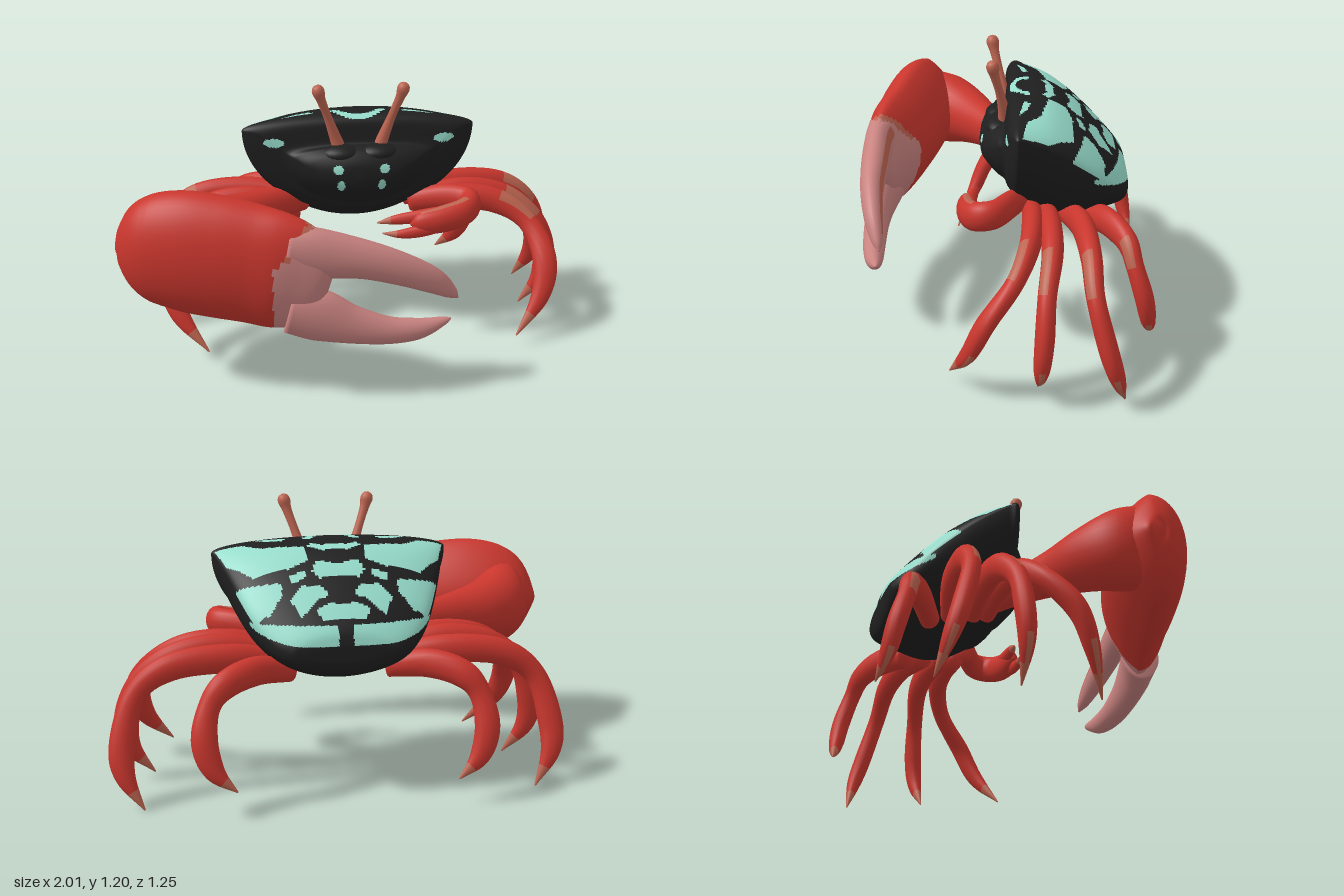
import * as THREE from 'three';

const paint = (name, color) => Object.assign(new THREE.MeshStandardMaterial({ color }), { name });
const shellBlack = paint('shell black', 0x1f1f1f);
const teal = paint('teal marking', 0x98decd);
const red = paint('crab red', 0xc8362d);
const pink = paint('claw pink', 0xc98380);
const tan = paint('tan', 0xbc6450);

const CX = 0.045; // symmetry plane of body and legs
const mirror = (x) => 2 * CX - x;

// Closed-ring skin with capped ends; pick(point, u, angle) chooses the material index of each face
function skin(name, rings, sides, pointAt, mats, pick = () => 0) {
  const pos = [], faces = mats.map(() => []);
  for (let i = 0; i <= rings; i++)
    for (let j = 0; j < sides; j++) pos.push(...pointAt(i / rings, (j / sides) * Math.PI * 2).toArray());
  const at = (k) => new THREE.Vector3().fromArray(pos, k * 3);
  for (let i = 0; i < rings; i++)
    for (let j = 0; j < sides; j++) {
      const a = i * sides + j, b = i * sides + ((j + 1) % sides), c = a + sides, d = b + sides;
      const mid = at(a).add(at(b)).add(at(c)).add(at(d)).multiplyScalar(0.25);
      faces[pick(mid, (i + 0.5) / rings, ((j + 0.5) / sides) * Math.PI * 2)].push(a, b, c, b, d, c);
    }
  for (const u of [0, 1]) {
    const first = u * rings * sides, hub = pos.length / 3;
    const mid = at(first).add(at(first + sides / 2)).multiplyScalar(0.5);
    pos.push(...mid.toArray());
    const list = faces[pick(mid, u, 0)];
    for (let j = 0; j < sides; j++) {
      const a = first + j, b = first + ((j + 1) % sides);
      list.push(hub, u ? a : b, u ? b : a);
    }
  }
  const geo = new THREE.BufferGeometry();
  geo.setAttribute('position', new THREE.Float32BufferAttribute(pos, 3));
  geo.setIndex(faces.flat());
  let start = 0;
  faces.forEach((f, k) => { geo.addGroup(start, f.length, k); start += f.length; });
  geo.computeVertexNormals();
  const mesh = new THREE.Mesh(geo, mats);
  mesh.name = name;
  return mesh;
}

const spline = (pts) => new THREE.CatmullRomCurve3(pts.map((p) => new THREE.Vector3(...p)), false, 'catmullrom', 0.5);

// Limb swept through stations [x, y, z, radius along hint, radius across]; taper thins one side
function limb(name, stations, hint, mats, pick, rings = 40, sides = 18, taper = 0) {
  const path = spline(stations.map((s) => s.slice(0, 3)));
  const size = spline(stations.map((s) => [s[3], s[4], 0]));
  return skin(name, rings, sides, (u, t) => {
    const T = path.getTangent(u), r = size.getPoint(u);
    const a = hint.clone().addScaledVector(T, -hint.dot(T)).normalize();
    const b = new THREE.Vector3().crossVectors(T, a);
    const thin = 1 + taper * Math.min(0, Math.sin(t));
    return path.getPoint(u)
      .addScaledVector(a, Math.max(r.x, 0.001) * Math.cos(t) * thin)
      .addScaledVector(b, Math.max(r.y, 0.001) * Math.sin(t));
  }, mats, pick);
}

const UP = new THREE.Vector3(0, 1, 0), FRONT = new THREE.Vector3(0, 0, 1);

// Shell markings: outlines in (distance from centre line, z)
const patches = [
  [[.12, -.275], [.2, -.3], [.35, -.295], [.45, -.19], [.49, -.085], [.38, -.105], [.3, -.165], [.2, -.185], [.13, -.2]],
  [[.05, -.41], [.1, -.425], [.17, -.47], [.21, -.41], [.16, -.37], [.08, -.375]],
  [[.24, -.385], [.29, -.43], [.36, -.425], [.4, -.37], [.42, -.29], [.38, -.31], [.34, -.325], [.24, -.345]],
  [[-.01, -.345], [.08, -.35], [.11, -.32], [.09, -.28], [.03, -.29], [-.01, -.3]],
  [[-.01, -.49], [.09, -.49], [.11, -.455], [.05, -.435], [-.01, -.45]],
  [[.14, -.345], [.2, -.355], [.21, -.33], [.14, -.315]],
  [[-.01, -.225], [.05, -.23], [.11, -.2], [.1, -.175], [.05, -.195], [-.01, -.185]],
  [[.2, -.125], [.28, -.105], [.33, -.075], [.2, -.095]],
];
const inside = (poly, x, y) => poly.reduce((hit, [ax, ay], i) => {
  const [bx, by] = poly[(i + 1) % poly.length];
  return (ay > y) !== (by > y) && x < ax + ((y - ay) / (by - ay)) * (bx - ax) ? !hit : hit;
}, false);
// Small front spots: [distance from centre line, y, half width, half height]
const spots = [[.37, .925, .045, .02], [.1, .83, .022, .02], [.088, .755, .017, .027]];

// Body sections from back to front: [z, half width, rim y, crown y, belly y]
const sections = [
  [-.542, .01, .65, .67, .63], [-.54, .18, .65, .69, .6], [-.525, .24, .65, .735, .56],
  [-.48, .3, .68, .79, .535], [-.4, .365, .755, .87, .505], [-.3, .415, .835, .96, .48],
  [-.2, .455, .905, 1.02, .5], [-.1, .49, .96, 1.035, .56], [-.06, .5, .97, 1.03, .58],
  [-.03, .42, .955, 1.0, .61], [-.015, .33, .885, .92, .64], [.015, .28, .86, .91, .66],
  [.05, .22, .83, .89, .7], [.08, .13, .8, .85, .74], [.09, .01, .79, .8, .78],
];

function makeBody() {
  const plan = spline(sections.map((s) => [s[1], s[2], s[0]]));
  const heights = spline(sections.map((s) => [s[3], s[4], 0]));
  return skin('body', 200, 200, (u, t) => {
    const p = plan.getPoint(u), h = heights.getPoint(u), s = Math.sin(t);
    return new THREE.Vector3(CX + p.x * Math.cos(t), p.y + s * (s > 0 ? h.x - p.y : p.y - h.y), p.z);
  }, [shellBlack, teal], (m, u) => {
    const dx = Math.abs(m.x - CX);
    if (m.z > -0.055 && spots.some(([x, y, w, h]) => ((dx - x) / w) ** 2 + ((m.y - y) / h) ** 2 < 1)) return 1;
    // wedge-shaped band wrapping the back corners
    const back = -0.38 - m.z;
    if (back > 0 && dx > 0.03 && Math.abs(m.y - 0.742 + back * 0.15) < 0.008 + back * 0.2) return 1;
    if (m.y < plan.getPoint(u).y) return 0;
    const r = Math.hypot(dx, (m.z + 0.13) * 1.3);
    if (m.z > -0.125 && m.z < -0.04 && r > 0.085 && r < 0.12) return 1; // curved mark behind the eyes
    return patches.some((p) => inside(p, dx, m.z)) ? 1 : 0;
  });
}

// Walking legs, front to back, root to tip
const legPaths = [
  [[.3, .57, -.13], [.5, .595, -.13], [.68, .575, -.11], [.82, .49, -.05], [.88, .35, .06], [.85, .2, .13], [.73, .05, .21]],
  [[.3, .56, -.19], [.52, .595, -.2], [.72, .565, -.2], [.87, .46, -.175], [.93, .3, -.165], [.92, .16, -.155], [.82, .03, -.145]],
  [[.28, .55, -.28], [.5, .585, -.33], [.74, .565, -.35], [.89, .46, -.36], [.95, .27, -.41], [.945, .14, -.45], [.87, .002, -.49]],
  [[.25, .53, -.36], [.4, .56, -.44], [.53, .53, -.51], [.6, .45, -.54], [.625, .32, -.58], [.59, .2, -.605], [.5, .115, -.63]],
];
const legSize = [[.042, .048], [.046, .062], [.043, .058], [.037, .046], [.039, .054], [.031, .043], [.003, .003]];

function makeLegs() {
  const legs = new THREE.Group();
  legs.name = 'walkingLegs';
  legPaths.forEach((path, i) => {
    for (const side of ['left', 'right']) {
      const left = side === 'left';
      const st = path.map(([x, y, z], k) => [left ? x : mirror(x), y, z, ...legSize[k]]);
      // tan tips and worn streaks on the knee and shin
      legs.add(limb(`${side}Leg${i + 1}`, st, FRONT, [red, tan], (m, u, t) => {
        const a = left ? t : Math.PI * 2 - t;
        const streak = (u > 0.34 && u < 0.5 && a > 4.9 && a < 5.7) || (u > 0.8 && a > 4.3 && a < 5.2);
        return u > 0.92 || streak ? 1 : 0;
      }, 44, 16));
    }
  });
  return legs;
}

function makeBigClaw() {
  const claw = new THREE.Group();
  claw.name = 'bigClaw';
  claw.add(limb('bigClawArm', [
    [-.2, .63, -.14, .07, .06], [-.38, .63, -.03, .08, .065], [-.54, .625, .06, .1, .085],
    [-.7, .62, .15, .135, .12], [-.8, .62, .235, .17, .135], [-.845, .625, .32, .18, .11],
  ], UP, [red], undefined, 40, 28));
  claw.add(limb('bigClawPalm', [
    [-.997, .63, .32, .02, .02], [-.98, .63, .32, .085, .06], [-.93, .63, .33, .175, .11],
    [-.85, .63, .35, .235, .145], [-.72, .63, .385, .268, .16], [-.58, .615, .42, .273, .158],
    [-.45, .595, .455, .268, .145], [-.34, .575, .495, .262, .125], [-.25, .555, .525, .235, .09],
    [-.17, .53, .545, .17, .06], [-.14, .52, .55, .04, .02],
  ], UP, [red, pink, tan], (m) => {
    const past = m.x + 0.37 - Math.max(0, m.y - 0.62) * 0.8 - Math.max(0, 0.48 - m.z) * 0.5;
    if (past < 0) return 0;
    return m.y > 0.66 && past < 0.035 ? 2 : 1;
  }, 90, 48, 0.35));
  // worn streak along the back of the upper finger
  claw.add(limb('upperFinger', [
    [-.3, .69, .53, .1, .08], [-.18, .67, .55, .105, .065], [0, .635, .555, .083, .06],
    [.15, .585, .555, .07, .05], [.28, .52, .54, .055, .04], [.36, .455, .52, .03, .025], [.395, .42, .51, .004, .004],
  ], UP, [pink, tan], (m, u, t) => (u > 0.1 && u < 0.8 && t > 4.9 && t < 5.6 ? 1 : 0), 40, 24));
  claw.add(limb('lowerFinger', [
    [-.3, .42, .53, .11, .08], [-.18, .39, .55, .115, .065], [-.05, .345, .56, .085, .055],
    [.1, .31, .56, .06, .05], [.23, .305, .55, .045, .04], [.33, .325, .535, .02, .02], [.365, .335, .53, .004, .004],
  ], UP, [pink], undefined, 40, 24));
  return claw;
}

function makeSmallClaw() {
  const claw = new THREE.Group();
  claw.name = 'smallClaw';
  const tanTip = (m, u) => (u > 0.7 ? 1 : 0);
  claw.add(limb('smallClawArm', [
    [.28, .61, -.08, .05, .042], [.42, .64, -.03, .06, .045], [.51, .645, .02, .062, .045],
    [.525, .64, .075, .062, .046], [.48, .625, .12, .062, .046], [.38, .605, .14, .06, .045],
    [.29, .595, .14, .045, .034], [.25, .59, .14, .004, .004],
  ], UP, [red, tan], (m, u, t) => (u > 0.5 && u < 0.85 && (t < 0.35 || t > 5.9) ? 1 : 0), 50));
  claw.add(limb('smallUpperFinger', [
    [.38, .63, .13, .034, .028], [.28, .615, .122, .03, .024], [.18, .6, .11, .02, .017], [.11, .585, .1, .003, .003],
  ], UP, [red, tan], tanTip, 24, 12));
  claw.add(limb('smallLowerFinger', [
    [.38, .585, .148, .034, .028], [.28, .56, .153, .028, .022], [.2, .55, .15, .018, .016], [.13, .55, .135, .003, .003],
  ], UP, [red, tan], tanTip, 24, 12));
  return claw;
}

function makeEyes() {
  const eyes = new THREE.Group();
  eyes.name = 'eyes';
  for (const s of [-1, 1]) {
    eyes.add(limb(s > 0 ? 'leftEyeStalk' : 'rightEyeStalk', [
      [CX + s * .09, .9, -.02, .03, .03], [CX + s * .11, .96, -.014, .025, .024], [CX + s * .14, 1.05, .004, .018, .018],
      [CX + s * .168, 1.13, .024, .02, .02], [CX + s * .18, 1.17, .032, .027, .027],
      [CX + s * .185, 1.192, .035, .019, .019], [CX + s * .187, 1.2, .036, .002, .002],
    ], FRONT, [tan], undefined, 40, 16));
    // rounded brow under each stalk
    const brow = new THREE.Mesh(new THREE.SphereGeometry(0.07, 24, 16), shellBlack);
    brow.name = 'brow';
    brow.scale.set(1.25, 0.55, 0.85);
    brow.position.set(CX + s * 0.08, 0.88, 0.005);
    eyes.add(brow);
  }
  return eyes;
}

export function createModel() {
  const crab = new THREE.Group();
  crab.name = 'crab';
  crab.add(makeBody(), makeLegs(), makeBigClaw(), makeSmallClaw(), makeEyes());
  return crab;
}
